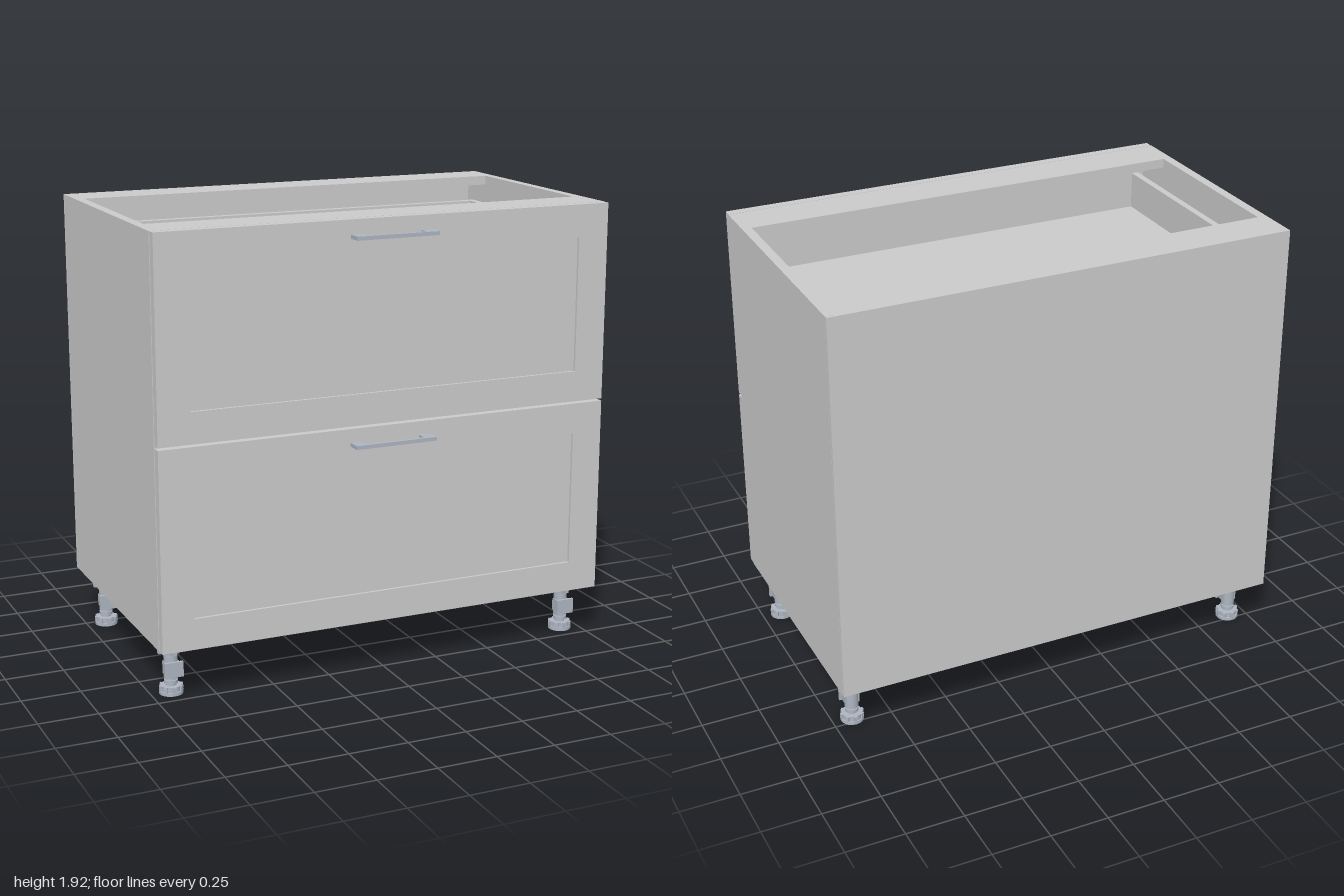
import * as THREE from 'three';

const grey = new THREE.MeshStandardMaterial({ color: 0xcccccc });
const metal = new THREE.MeshStandardMaterial({ color: 0xaeb6c1 });

function add(parent, name, geometry, material = grey) {
  const mesh = new THREE.Mesh(geometry, material);
  mesh.name = name;
  parent.add(mesh);
  return mesh;
}

// Box given by its limits on each axis
function box(parent, name, [x0, x1], [y0, y1], [z0, z1], material) {
  const mesh = add(parent, name, new THREE.BoxGeometry(x1 - x0, y1 - y0, z1 - z0), material);
  mesh.position.set((x0 + x1) / 2, (y0 + y1) / 2, (z0 + z1) / 2);
  return mesh;
}

function rectPath(path, x0, x1, y0, y1) {
  path.moveTo(x0, y0);
  path.lineTo(x1, y0);
  path.lineTo(x1, y1);
  path.lineTo(x0, y1);
  path.closePath();
  return path;
}

// Framed drawer front with a slightly sunken panel
function makeFront(y0, y1, py0, py1) {
  const g = new THREE.Group();
  g.name = 'drawerFront';
  const shape = rectPath(new THREE.Shape(), -0.998, 0.998, y0, y1);
  shape.holes.push(rectPath(new THREE.Path(), -0.862, 0.862, py0, py1));
  add(g, 'frontFrame', new THREE.ExtrudeGeometry(shape, { depth: 0.038, bevelEnabled: false }))
    .position.z = 0.522;
  box(g, 'frontPanel', [-0.862, 0.862], [py0, py1], [0.522, 0.548]);
  return g;
}

// Flat U-shaped pull: wide feet and a thin bar
function makeHandle(y) {
  const s = new THREE.Shape();
  const pts = [[-0.18, 0], [-0.128, 0], [-0.128, 0.043], [0.128, 0.043],
    [0.128, 0], [0.18, 0], [0.18, 0.06], [-0.18, 0.06]];
  s.setFromPoints(pts.map(([x, z]) => new THREE.Vector2(x, z)));
  const geo = new THREE.ExtrudeGeometry(s, { depth: 0.016, bevelEnabled: false });
  geo.rotateX(Math.PI / 2);
  const g = new THREE.Group();
  add(g, 'handleBar', geo, metal);
  g.name = 'handle';
  g.position.set(0, y + 0.008, 0.56);
  return g;
}

// Open drawer box behind a front
function makeDrawer(floorY, topY) {
  const g = new THREE.Group();
  g.name = 'drawerBox';
  box(g, 'drawerFloor', [-0.905, 0.905], [floorY - 0.03, floorY], [-0.515, 0.522]);
  box(g, 'drawerBack', [-0.905, 0.905], [floorY, topY], [-0.515, -0.485]);
  for (const s of [-1, 1]) {
    const side = box(g, 'drawerSide', [-0.015, 0.015], [floorY - 0.03, topY], [-0.515, 0.522]);
    side.position.x = s * 0.92;
    const runner = box(g, 'drawerRunner', [-0.0125, 0.0125], [floorY - 0.03, floorY + 0.02], [-0.5, 0.5], metal);
    runner.position.x = s * 0.9475;
  }
  return g;
}

// Adjustable leg: socket, threaded stem, plinth clip, and notched foot
function makeLeg(x, z) {
  const g = new THREE.Group();
  g.name = 'leg';
  const cyl = (name, r0, r1, y0, y1, sides = 20) => {
    const m = add(g, name, new THREE.CylinderGeometry(r1, r0, y1 - y0, sides), metal);
    m.position.y = (y0 + y1) / 2;
  };
  cyl('footPad', 0.05, 0.05, 0, 0.014);
  cyl('footDisc', 0.044, 0.044, 0.014, 0.036);
  for (let i = 0; i < 8; i++) {
    const a = (i * Math.PI) / 4;
    const rib = add(g, 'footRib', new THREE.BoxGeometry(0.014, 0.022, 0.022), metal);
    rib.position.set(Math.sin(a) * 0.039, 0.025, Math.cos(a) * 0.039);
    rib.rotation.y = a;
  }
  cyl('threadedStem', 0.022, 0.022, 0.036, 0.07);
  cyl('stemCollar', 0.029, 0.029, 0.045, 0.06);
  cyl('legTube', 0.029, 0.029, 0.065, 0.185);
  cyl('legSocket', 0.042, 0.05, 0.178, 0.222);
  cyl('socketFlange', 0.056, 0.056, 0.22, 0.231);
  // Ribs around the socket
  for (let i = 0; i < 4; i++) {
    const a = (i * Math.PI) / 2;
    const rib = add(g, 'socketRib', new THREE.BoxGeometry(0.02, 0.046, 0.014), metal);
    rib.position.set(Math.sin(a) * 0.046, 0.2, Math.cos(a) * 0.046);
    rib.rotation.y = a;
  }
  // Clip on the front of the tube
  box(g, 'clipPlate', [-0.04, 0.04], [0.08, 0.145], [0.034, 0.046], metal);
  for (const s of [-1, 1])
    box(g, 'clipJaw', [s * 0.026 - 0.005, s * 0.026 + 0.005], [0.085, 0.138], [-0.014, 0.036], metal);
  g.position.set(x, 0, z);
  return g;
}

export function createModel() {
  const model = new THREE.Group();
  model.name = 'drawerCabinet';

  // Carcass
  const carcass = new THREE.Group();
  carcass.name = 'carcass';
  model.add(carcass);
  for (const s of [-1, 1])
    box(carcass, 'sidePanel', [-0.02, 0.02], [0.23, 1.918], [-0.606, 0.519]).position.x = s * 0.98;
  box(carcass, 'bottomPanel', [-0.96, 0.96], [0.23, 0.27], [-0.59, 0.519]);
  box(carcass, 'backPanel', [-1, 1], [0.23, 1.918], [-0.62, -0.608]);
  box(carcass, 'topBackRail', [-0.96, 0.96], [1.878, 1.918], [-0.608, -0.44]);
  box(carcass, 'topFrontRail', [-0.96, 0.96], [1.878, 1.918], [0.34, 0.519]);

  // Two drawers, each with front, box and handle
  model.add(makeFront(1.079, 1.918, 1.21, 1.782), makeFront(0.23, 1.069, 0.36, 0.938));
  model.add(makeDrawer(1.64, 1.8), makeDrawer(0.8, 0.96));
  model.add(makeHandle(1.85), makeHandle(1.004));

  // Four legs
  for (const x of [-0.915, 0.915])
    for (const z of [0.41, -0.47]) model.add(makeLeg(x, z));

  return model;
}
